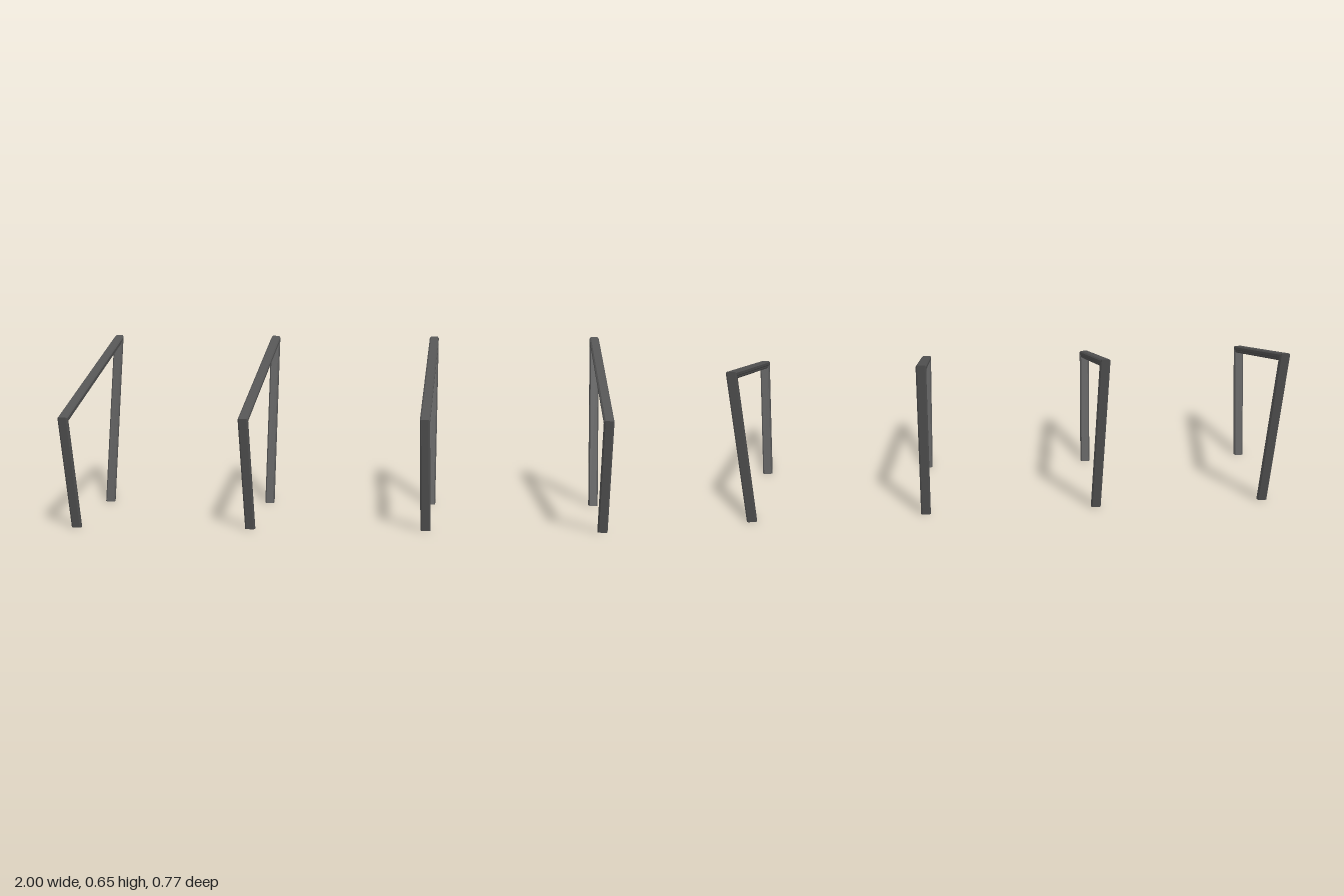
import * as THREE from 'three';

const material = new THREE.MeshStandardMaterial({ color: 0x555555, flatShading: true });

// Sweep a counter-clockwise profile of [x, t] points along stations; t runs from the outer (0) to the inner (1) point.
function sweep(profile, outer, inner) {
  const pos = [], index = [], n = profile.length;
  outer.forEach(([z, y], s) => {
    for (const [x, t] of profile) {
      pos.push(x, y + (inner[s][1] - y) * t, z + (inner[s][0] - z) * t);
    }
  });
  for (let s = 0; s < outer.length - 1; s++) {
    for (let i = 0; i < n; i++) {
      const a = s * n + i, b = s * n + (i + 1) % n;
      index.push(a, b, b + n, a, b + n, a + n);
    }
  }
  // End caps
  const last = (outer.length - 1) * n;
  for (let i = 1; i < n - 1; i++) {
    index.push(0, i + 1, i, last, last + i, last + i + 1);
  }
  const indexed = new THREE.BufferGeometry();
  indexed.setAttribute('position', new THREE.Float32BufferAttribute(pos, 3));
  indexed.setIndex(index);
  const geometry = indexed.toNonIndexed();
  geometry.computeVertexNormals();
  return geometry;
}

// Mitred frame outline as [z, y], front foot to back foot
const outer = [[0.264, 0], [0.385, 0.426], [-0.384, 0.646], [-0.2, 0]];
const inner = [[0.245, 0], [0.364, 0.413], [-0.358, 0.62], [-0.181, 0]];

// Flat bar with chamfered edges
const w = 0.018, f = 0.013;
const barProfile = [
  [-f, 0], [f, 0], [w, 0.25], [w, 0.75], [f, 1], [-f, 1], [-w, 0.75], [-w, 0.25],
];

// Narrow strip under the beam, between the legs
const stripProfile = [[-0.014, 0], [0.014, 0], [0.014, 0.55], [0.01, 1], [-0.01, 1], [-0.014, 0.55]];
const stripOuter = [[0.363, 0.414], [-0.358, 0.621]];
const stripInner = [[0.36, 0.405], [-0.357, 0.611]];

export function createModel() {
  const model = new THREE.Group();
  model.name = 'frameRow';
  const barGeometry = sweep(barProfile, outer, inner);
  const stripGeometry = sweep(stripProfile, stripOuter, stripInner);

  // Four equal frames, each turned slightly about the vertical
  for (let i = 0; i < 4; i++) {
    const frame = new THREE.Group();
    frame.name = `frame${i + 1}`;
    const bar = new THREE.Mesh(barGeometry, material);
    bar.name = 'legsAndBeam';
    const strip = new THREE.Mesh(stripGeometry, material);
    strip.name = 'beamStrip';
    frame.add(bar, strip);
    frame.position.x = (i - 1.5) * 0.638;
    frame.rotation.y = -0.064;
    model.add(frame);
  }
  return model;
}
